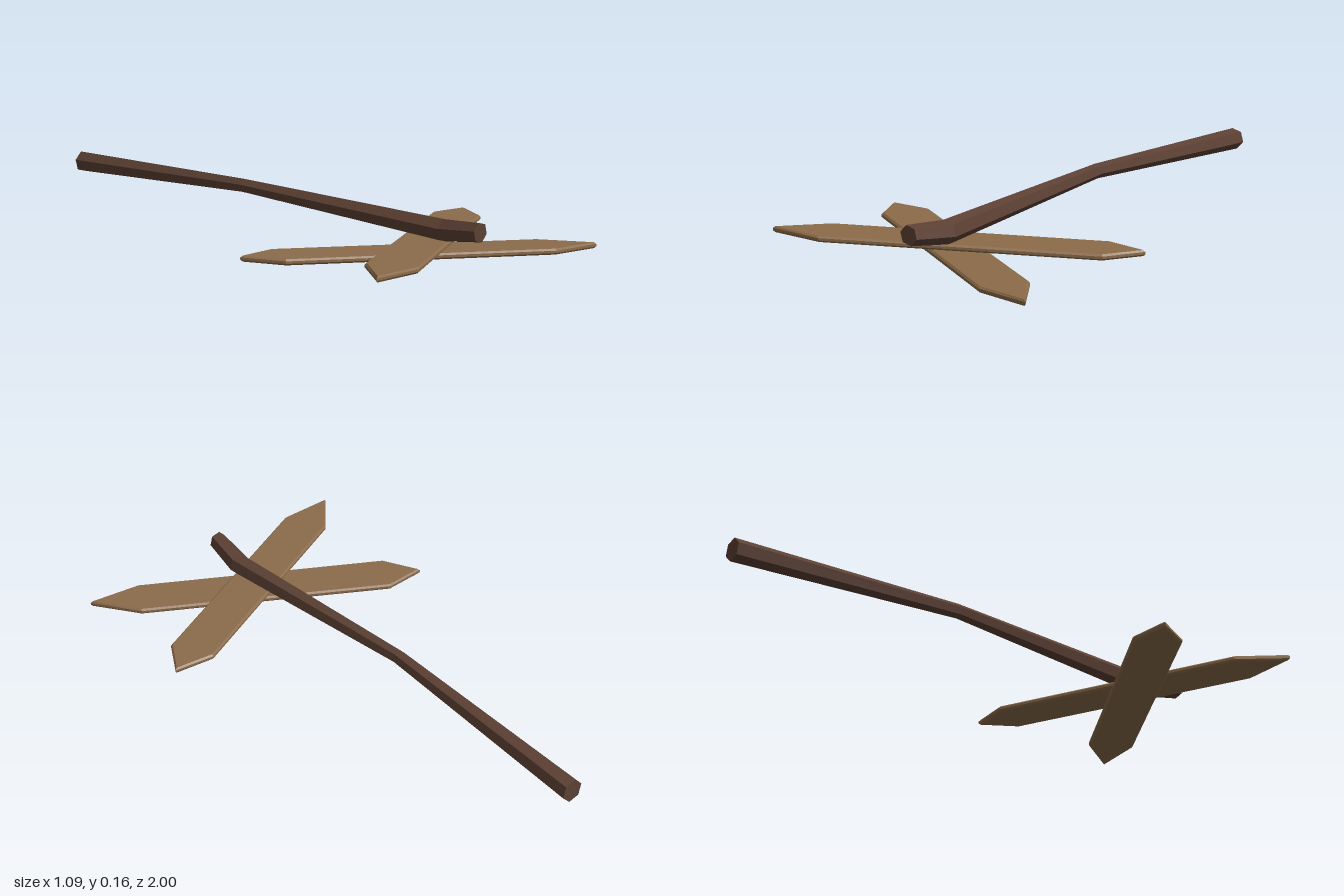
import * as THREE from 'three';

export function createModel() {
  const model = new THREE.Group();
  model.name = 'brokenSignpost';

  const darkWood = new THREE.MeshStandardMaterial({ color: 0x5c4033, flatShading: true });
  darkWood.name = 'dark wood';
  const plankWood = new THREE.MeshStandardMaterial({ color: 0x8b6b4a, flatShading: true });
  plankWood.name = 'plank wood';

  // Crooked six-sided pole: one [x, y, z, radius] per ring
  const rings = [
    [0.014, 0.106, -1, 0.04],
    [-0.017, 0.136, -0.12, 0.026],
    [0.013, 0.103, 0.75, 0.04],
    [-0.007, 0.122, 0.91, 0.034],
  ];
  const poleGeo = new THREE.CylinderGeometry(1, 1, 3, 6, 3);
  poleGeo.rotateX(Math.PI / 2).rotateZ(Math.PI / 12);
  const p = poleGeo.attributes.position;
  for (let i = 0; i < p.count; i++) {
    const [x, y, z, r] = rings[Math.round(p.getZ(i) + 1.5)];
    p.setXYZ(i, x + p.getX(i) * r, y + p.getY(i) * r, z);
  }
  poleGeo.computeVertexNormals();
  const pole = new THREE.Mesh(poleGeo, darkWood);
  pole.name = 'pole';
  model.add(pole);

  // Pointed plank with chamfered edges, sloping down towards +x
  function addPlank(name, outline, baseY, slope) {
    const shape = new THREE.Shape(outline.map(([x, z]) => new THREE.Vector2(x, -z)));
    const geo = new THREE.ExtrudeGeometry(shape, {
      depth: 0.008, bevelThickness: 0.006, bevelSize: 0.006, bevelOffset: -0.006, bevelSegments: 1,
    });
    geo.rotateX(-Math.PI / 2);
    const v = geo.attributes.position;
    for (let i = 0; i < v.count; i++) v.setY(i, v.getY(i) + baseY + slope * v.getX(i));
    geo.computeVertexNormals();
    const plank = new THREE.Mesh(geo, plankWood);
    plank.name = name;
    model.add(plank);
  }

  addPlank('upperPlank', [
    [-0.548, 0.947], [-0.352, 0.947], [0.468, 0.541],
    [0.542, 0.408], [0.394, 0.39], [-0.426, 0.793],
  ], 0.052, -0.0275);
  addPlank('lowerPlank', [
    [-0.532, 0.366], [-0.468, 0.504], [0.315, 0.973],
    [0.508, 0.995], [0.4, 0.827], [-0.381, 0.355],
  ], 0.021, -0.027);

  return model;
}
